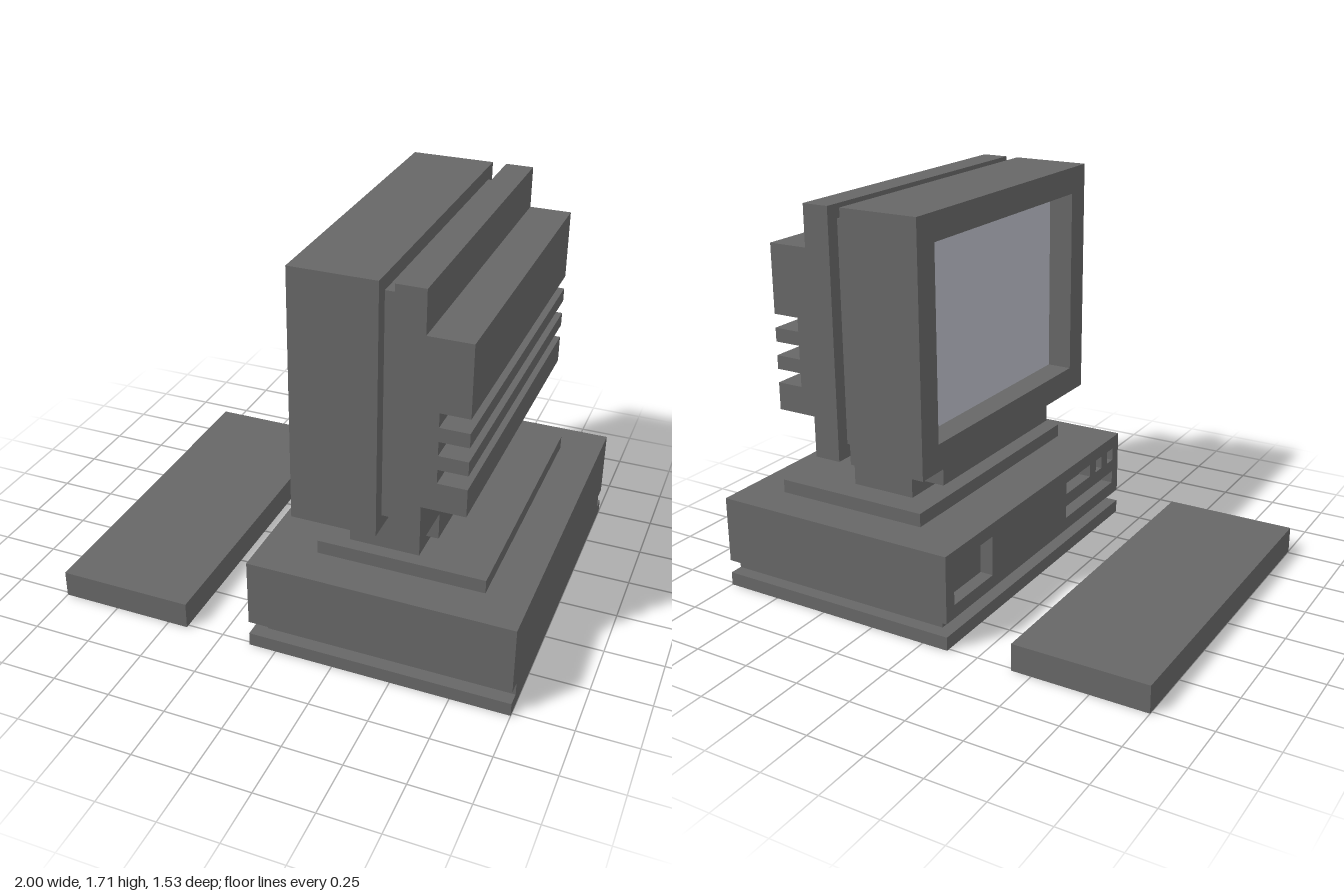
import * as THREE from 'three';

// All dimensions are in grid units; 34 units span the longest side.
const UNIT = 2 / 34;
const X_SHIFT = -17;

export function createModel() {
  const casing = new THREE.MeshStandardMaterial({ color: 0x666666 });
  casing.name = 'casing grey';
  const glass = new THREE.MeshStandardMaterial({ color: 0xb8bac4 });
  glass.name = 'screen glass';

  const root = new THREE.Group();
  root.name = 'desktopComputer';
  root.scale.setScalar(UNIT);

  const group = (name) => {
    const g = new THREE.Group();
    g.name = name;
    g.position.x = X_SHIFT;
    root.add(g);
    return g;
  };

  const add = (parent, name, geometry, material = casing) => {
    const mesh = new THREE.Mesh(geometry, material);
    mesh.name = name;
    parent.add(mesh);
    return mesh;
  };

  // Box from its minimum and maximum on each axis
  const box = (parent, name, [x0, x1], [y0, y1], [z0, z1], material) =>
    add(parent, name, new THREE.BoxGeometry(x1 - x0, y1 - y0, z1 - z0), material)
      .position.set((x0 + x1) / 2, (y0 + y1) / 2, (z0 + z1) / 2);

  const rectPoints = ([a0, a1, b0, b1]) => [[a0, b0], [a1, b0], [a1, b1], [a0, b1]]
    .map(([a, b]) => new THREE.Vector2(a, b));

  // Rectangular plate with rectangular holes cut through it
  const plate = (outer, holes, depth) => {
    const shape = new THREE.Shape(rectPoints(outer));
    for (const h of holes) shape.holes.push(new THREE.Path(rectPoints(h).reverse()));
    return new THREE.ExtrudeGeometry(shape, { depth, bevelEnabled: false });
  };

  // Plate in the z-y plane, reaching from x1 back towards -x
  const facePlate = (parent, name, outer, holes, x0, x1) => {
    const geometry = plate(outer, holes, x1 - x0).rotateY(-Math.PI / 2).translate(x1, 0, 0);
    return add(parent, name, geometry);
  };

  // Keyboard with a small recess underneath
  const keyboard = group('keyboard');
  box(keyboard, 'keyboardTop', [0, 10], [1, 2], [-13, 13]);
  add(keyboard, 'keyboardUnderside',
    plate([0, 10, -13, 13], [[8, 9, 4, 7]], 1).rotateX(Math.PI / 2).translate(0, 1, 0));

  // System unit with a groove round three sides
  const unit = group('systemUnit');
  box(unit, 'bottomPlate', [15, 34], [0, 1], [-13, 13]);
  box(unit, 'grooveCore', [16, 34], [1, 2], [-12, 12]);
  box(unit, 'mainCase', [16, 34], [2, 7], [-13, 13]);
  facePlate(unit, 'drivePanel', [-13, 13, 2, 7], [
    [-12, -7, 3, 6], // square bay
    [4, 12, 3, 4],   // long drive slot
    [4, 8, 5, 6],    // short slot
    [9, 10, 5, 6],   // buttons
    [11, 12, 5, 6],
  ], 15, 16);

  // Stand
  const stand = group('monitorStand');
  box(stand, 'standPlate', [19, 31], [7, 8], [-10, 10]);
  box(stand, 'standNeck', [21, 26], [8, 12], [-8, 9]);
  box(stand, 'standBracket', [19, 27], [9, 11], [-7, 8]);

  // Monitor: bezel round a recessed screen, slim core, rear housing
  const monitor = group('monitor');
  facePlate(monitor, 'screenBezel', [-11, 12, 11, 29], [[-9, 10, 13, 27]], 18, 20);
  box(monitor, 'frontHousing', [20, 24], [11, 29], [-11, 12]);
  box(monitor, 'screen', [19.9, 20], [13, 27], [-9, 10], glass);
  box(monitor, 'seamCore', [24, 25], [12, 28], [-10, 11]);

  // Rear housing profile, with three cooling slots cut in from the back
  const profile = [[25, 11], [27, 11], [27, 14], [30, 14]];
  for (const y of [16, 18, 20]) profile.push([30, y], [28, y], [28, y + 1], [30, y + 1]);
  profile.push([30, 26], [27, 26], [27, 29], [25, 29]);
  const rearShape = new THREE.Shape(profile.map(([x, y]) => new THREE.Vector2(x, y)));
  add(monitor, 'rearHousing',
    new THREE.ExtrudeGeometry(rearShape, { depth: 23, bevelEnabled: false }).translate(0, 0, -11));

  return root;
}
